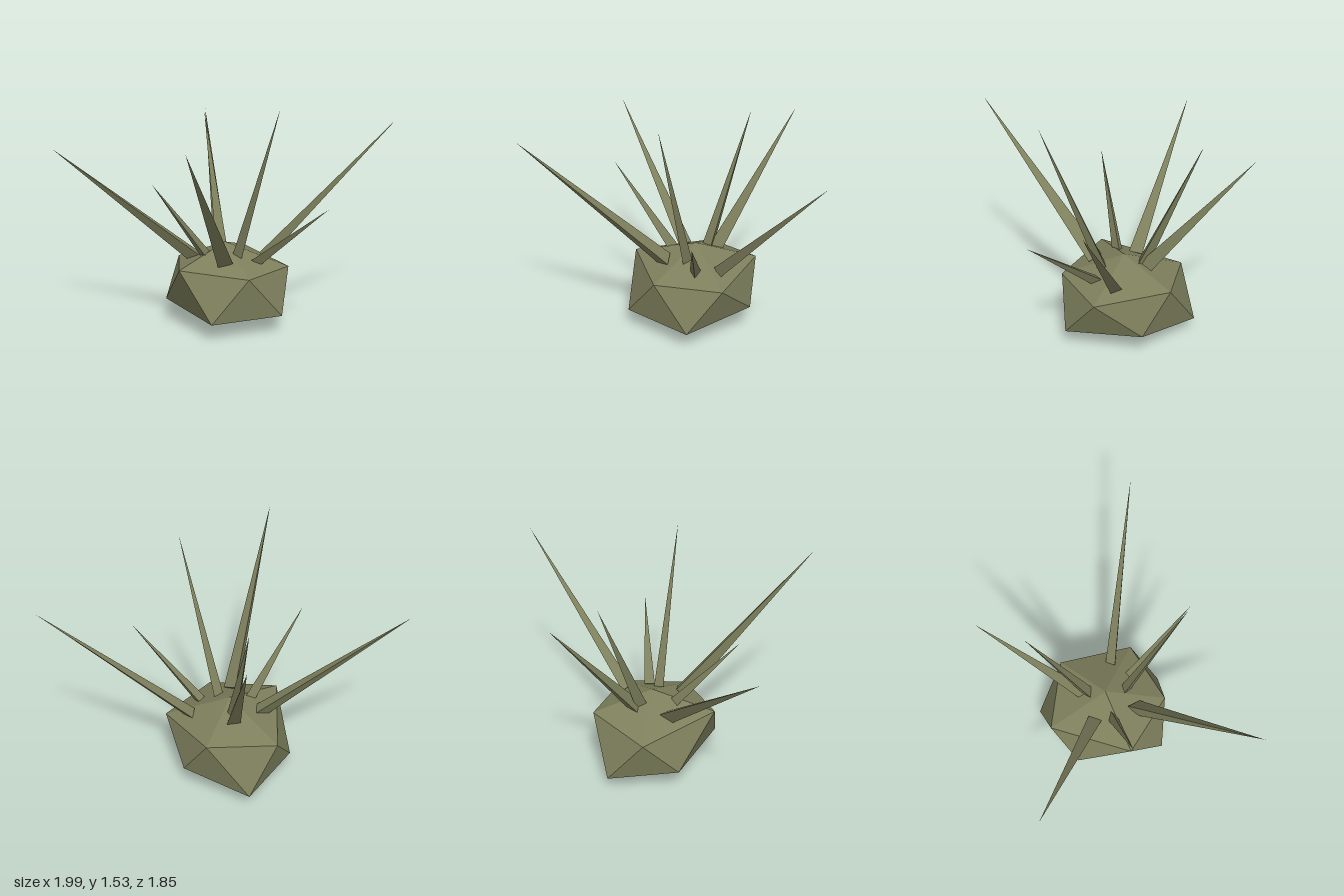
import * as THREE from 'three';

export function createModel() {
  const group = new THREE.Group();
  const olive = new THREE.MeshStandardMaterial({ color: 0x7d7f5c, flatShading: true });
  olive.name = 'olive';

  // Body: an irregular icosahedron, two staggered rings between two poles
  const top = [0.04, 0.56, -0.21];
  const bottom = [0.05, 0, -0.22];
  const upper = [[0, 0.44, -0.615], [0.44, 0.395, -0.37], [0.34, 0.4, 0.07], [-0.11, 0.44, 0.19], [-0.37, 0.385, -0.33]];
  const lower = [[0.2, 0.16, -0.57], [0.49, 0.115, -0.14], [0.15, 0.115, 0.24], [-0.35, 0.14, -0.09], [-0.28, 0.09, -0.56]];
  const corners = [];
  for (let i = 0; i < 5; i++) {
    const j = (i + 1) % 5;
    corners.push(top, upper[j], upper[i]);
    corners.push(upper[i], upper[j], lower[i]);
    corners.push(lower[i], upper[j], lower[j]);
    corners.push(bottom, lower[i], lower[j]);
  }
  const bodyGeometry = new THREE.BufferGeometry();
  bodyGeometry.setAttribute('position', new THREE.Float32BufferAttribute(corners.flat(), 3));
  bodyGeometry.computeVertexNormals();
  const body = new THREE.Mesh(bodyGeometry, olive);
  body.name = 'body';
  group.add(body);

  // Spikes: three-sided cones; ridge is the side one long edge is turned to
  const spikes = [
    { base: [-0.14, 0.455, -0.135], tip: [-1, 1.2, 0.29], radius: 0.055, ridge: [0, -1, 0] },
    { base: [-0.045, 0.48, -0.335], tip: [-0.43, 1.34, -0.89], radius: 0.055, ridge: [0.3, 1, 0.3] },
    { base: [-0.035, 0.5, -0.3], tip: [-0.29, 1.375, -0.58], radius: 0.045, ridge: [-0.3, 0, 1] },
    { base: [-0.035, 0.49, -0.065], tip: [-0.23, 1.035, 0.33], radius: 0.04, ridge: [0, 1, 0] },
    { base: [0.125, 0.47, -0.01], tip: [0.3, 1.38, 0.92], radius: 0.06, ridge: [-0.5, 0.5, -0.4] },
    { base: [0.165, 0.48, -0.145], tip: [0.53, 1.535, 0.04], radius: 0.04, ridge: [0, 0, -1] },
    { base: [0.25, 0.45, -0.36], tip: [0.99, 1.355, -0.93], radius: 0.045, ridge: [0.3, 1, 0.3] },
    { base: [0.27, 0.45, -0.2], tip: [0.795, 0.87, -0.16], radius: 0.04, ridge: [0, -1, 0] },
  ];
  for (const { base, tip, radius, ridge } of spikes) {
    const from = new THREE.Vector3(...base);
    const axis = new THREE.Vector3(...tip).sub(from);
    const length = axis.length();
    axis.normalize();
    const side = new THREE.Vector3().crossVectors(axis, new THREE.Vector3(...ridge)).normalize();
    const out = new THREE.Vector3().crossVectors(side, axis);
    const geometry = new THREE.ConeGeometry(radius, length, 3).translate(0, length / 2, 0);
    const spike = new THREE.Mesh(geometry, olive);
    spike.name = 'spike';
    spike.quaternion.setFromRotationMatrix(new THREE.Matrix4().makeBasis(side, axis, out));
    spike.position.copy(from);
    group.add(spike);
  }
  return group;
}
